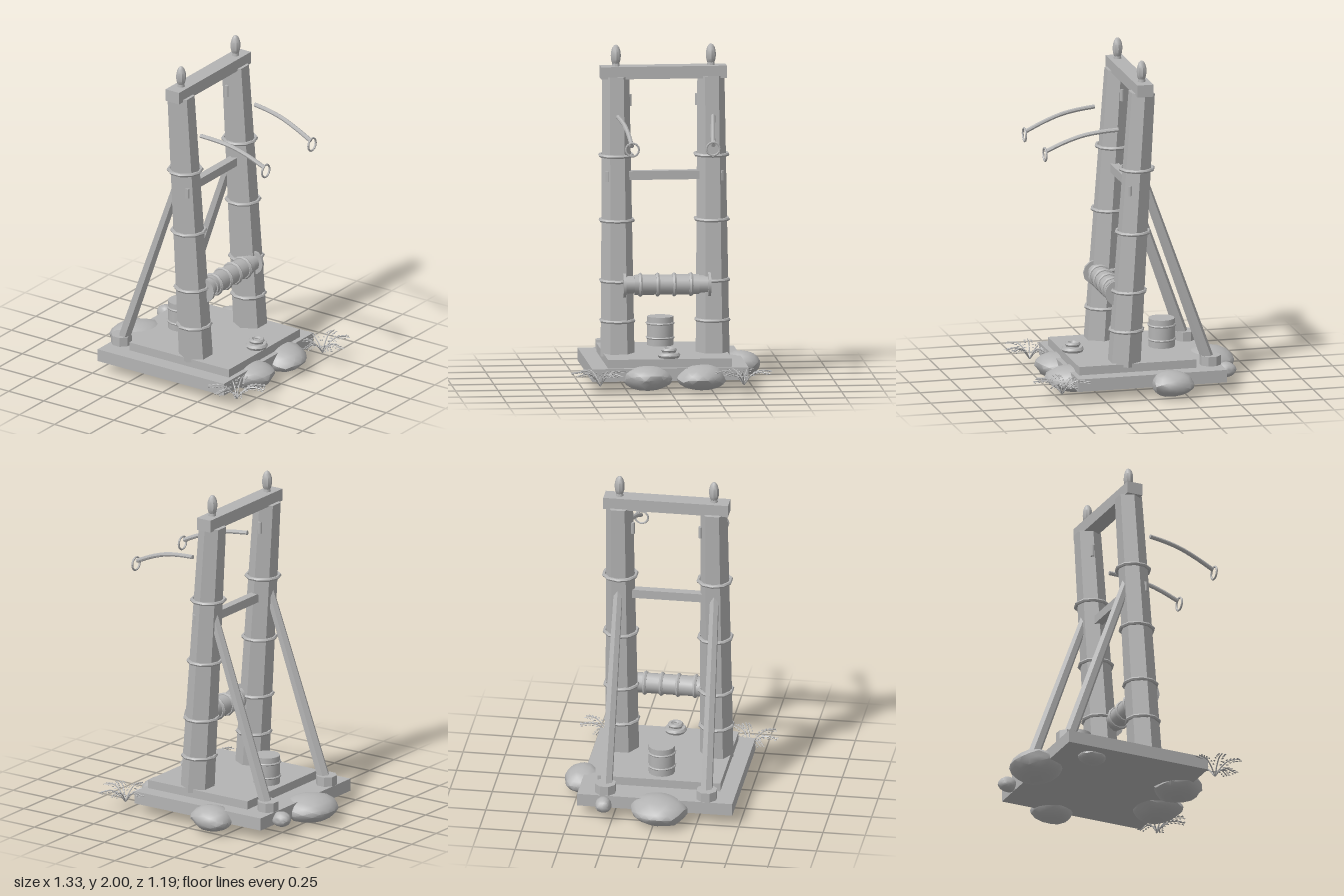
import * as THREE from 'three';
import { toCreasedNormals, mergeVertices } from 'three/addons/utils/BufferGeometryUtils.js';

const V = (x, y, z) => new THREE.Vector3(x, y, z);

export function createModel() {
  const root = new THREE.Group();
  const grey = new THREE.MeshStandardMaterial({ color: 0xb4b4b4 });
  grey.name = 'stone grey';

  const add = (name, geo, pos = [0, 0, 0], parent = root) => {
    const m = new THREE.Mesh(toCreasedNormals(geo, 0.7), grey);
    m.name = name;
    m.position.set(...pos);
    parent.add(m);
    return m;
  };
  const box = (name, x0, x1, y0, y1, z0, z1) =>
    add(name, new THREE.BoxGeometry(x1 - x0, y1 - y0, z1 - z0), [(x0 + x1) / 2, (y0 + y1) / 2, (z0 + z1) / 2]);
  // tapered prism between two points
  const beam = (name, a, b, r0, r1, sides, turn = 0) => {
    const d = b.clone().sub(a);
    const m = add(name, new THREE.CylinderGeometry(r1, r0, d.length(), sides, 1, false, turn),
      a.clone().add(b).multiplyScalar(0.5).toArray());
    m.quaternion.setFromUnitVectors(V(0, 1, 0), d.normalize());
    return m;
  };
  const ring = (name, R, t, pos, seg = 12, parent = root) =>
    add(name, new THREE.TorusGeometry(R, t, 6, seg), pos, parent);

  // platform
  box('baseSlab', -0.49, 0.41, 0.065, 0.14, -0.46, 0.46);
  box('upperSlab', -0.33, 0.38, 0.14, 0.19, -0.365, 0.365);

  // portal: cross beams
  box('topBeam', -0.068, 0.029, 1.8, 1.873, -0.37, 0.37);
  box('crossBar', -0.008, 0.042, 1.205, 1.257, -0.235, 0.235);

  const postX = (y) => 0.085 - 0.105 * (y - 0.19) / 1.61;
  for (const s of [1, -1]) {
    // leaning hexagonal posts with bands
    beam('post', V(postX(0.17), 0.17, 0.28 * s), V(postX(1.81), 1.81, 0.28 * s), 0.1, 0.08, 6);
    for (const y of [0.38, 0.615, 0.97, 1.35])
      ring('postBand', 0.098, 0.011, [postX(y), y, 0.28 * s], 10).rotation.x = Math.PI / 2;
    // pegs
    add('outerPeg', new THREE.CylinderGeometry(0.014, 0.014, 0.06, 8), [0.065, 1.23, 0.335 * s]);
    add('innerPeg', new THREE.CylinderGeometry(0.012, 0.012, 0.07, 8), [-0.025, 1.67, 0.2 * s]);

    // finials
    const f = add('finial', new THREE.SphereGeometry(0.03, 8, 8), [-0.02, 1.935, 0.28 * s]);
    f.scale.y = 2.17;
    add('finialCollar', new THREE.CylinderGeometry(0.02, 0.024, 0.03, 10), [-0.02, 1.88, 0.28 * s]);

    // rear braces on octagonal feet
    beam('brace', V(-0.42, 0.16, 0.297 * s), V(-0.02, 1.3, 0.285 * s), 0.038, 0.028, 6, Math.PI / 6);
    add('braceFoot', new THREE.CylinderGeometry(0.063, 0.063, 0.057, 8, 1, false, Math.PI / 8), [-0.43, 0.168, 0.3 * s]);

    // hanging arms with end rings
    const path = new THREE.CatmullRomCurve3([
      V(0.12, 1.59, 0.28 * s), V(0.23, 1.58, 0.269 * s), V(0.33, 1.562, 0.258 * s),
      V(0.44, 1.525, 0.247 * s), V(0.545, 1.478, 0.24 * s)]);
    add('ropeArm', new THREE.TubeGeometry(path, 14, 0.013, 8));
    for (const [p, n] of [[0, -1], [1, 1]]) {
      const cap = add('ropeEnd', new THREE.CircleGeometry(0.013, 8), path.getPoint(p).toArray());
      cap.quaternion.setFromUnitVectors(V(0, 0, 1), path.getTangent(p).multiplyScalar(n));
    }
    ring('ropeRing', 0.039, 0.006, [0.555, 1.458, 0.238 * s], 14).rotation.y = Math.PI / 2;
  }

  // winch drum
  const winch = new THREE.Group();
  winch.name = 'winch';
  winch.position.set(0.12, 0.595, -0.005);
  root.add(winch);
  const disc = (name, r, len, z) => {
    add(name, new THREE.CylinderGeometry(r, r, len, 12), [0, 0, z], winch).rotation.x = Math.PI / 2;
  };
  disc('drumCore', 0.052, 0.5, 0);
  disc('drumBody', 0.06, 0.38, 0);
  for (const z of [-0.25, 0.25]) disc('drumFlange', 0.076, 0.016, z);
  for (const z of [-0.143, -0.045, 0.053, 0.155]) ring('drumCoil', 0.059, 0.013, [0, 0, z], 12, winch);

  // barrel
  add('barrel', new THREE.CylinderGeometry(0.078, 0.078, 0.17, 14), [-0.214, 0.275, 0]);
  for (const y of [0.235, 0.32]) ring('barrelBand', 0.079, 0.007, [-0.214, y, 0], 14).rotation.x = Math.PI / 2;

  // coiled stack at the front edge
  ring('lowerCoil', 0.05, 0.017, [0.325, 0.206, 0]).rotation.x = Math.PI / 2;
  ring('upperCoil', 0.034, 0.013, [0.325, 0.237, 0]).rotation.x = Math.PI / 2;
  add('coilHub', new THREE.CylinderGeometry(0.034, 0.045, 0.045, 12), [0.325, 0.212, 0]);

  // boulders: irregular faceted lumps [x, y, z, rx, ry, rz]
  [
    [-0.158, 0.083, -0.475, 0.132, 0.076, 0.115],
    [-0.5, 0.08, 0.03, 0.165, 0.08, 0.175],
    [0.385, 0.08, -0.18, 0.15, 0.077, 0.15],
    [0.37, 0.08, 0.125, 0.145, 0.076, 0.15],
    [-0.53, 0.1, -0.3, 0.06, 0.045, 0.05],
    [-0.28, 0.06, 0.33, 0.09, 0.04, 0.075],
  ].forEach(([x, y, z, rx, ry, rz], i) => {
    let g = new THREE.IcosahedronGeometry(1, 2);
    g.deleteAttribute('uv');
    g.deleteAttribute('normal');
    g = mergeVertices(g, 1e-4);
    const p = g.attributes.position;
    for (let k = 0; k < p.count; k++) {
      const v = V().fromBufferAttribute(p, k);
      // cut the lump by a few tilted planes
      let r = 1 + 0.05 * Math.sin(3 * v.x + 2 * v.z + i * 1.7);
      for (let c = 0; c < 6; c++) {
        const a = c * 1.1 + i * 0.9;
        const n = V(Math.cos(a), 0.6 * Math.sin(c * 2.3 + i), Math.sin(a)).normalize();
        const d = v.dot(n);
        if (d > 0) r = Math.min(r, 0.9 / d);
      }
      v.multiplyScalar(r);
      p.setXYZ(k, v.x * rx, Math.max(v.y * ry, -y), v.z * rz);
    }
    add('boulder', g, [x, y, z]);
  });

  // ferns: arching stems carrying flat leaflets
  const stemPath = new THREE.CatmullRomCurve3([
    V(0, 0.05, 0), V(0.04, 0.1, 0), V(0.09, 0.13, 0), V(0.168, 0.125, 0)]);
  const stemGeo = new THREE.TubeGeometry(stemPath, 10, 0.004, 5);
  const leafGeo = new THREE.SphereGeometry(0.011, 6, 4).scale(1, 0.25, 0.5);
  const fern = (x, z, angles) => {
    const g = new THREE.Group();
    g.name = 'fern';
    g.position.set(x, 0, z);
    root.add(g);
    angles.forEach((deg) => {
      const frond = new THREE.Group();
      frond.name = 'frond';
      frond.rotation.y = -deg * Math.PI / 180;
      g.add(frond);
      add('stem', stemGeo, [0, 0, 0], frond);
      for (let i = 0; i < 6; i++) {
        const p = stemPath.getPointAt(0.38 + i * 0.115);
        for (const s of [1, -1])
          add('leaflet', leafGeo, [p.x, p.y - 0.003, s * (0.023 - i * 0.001)], frond).rotation.y = -s * 0.5;
      }
    });
  };
  fern(0.5, -0.425, [13, 43, 92, 146, 198, 259, 301]);
  fern(0.475, 0.42, [-18, -40, 53, 100, 150, 218, 250]);

  return root;
}
